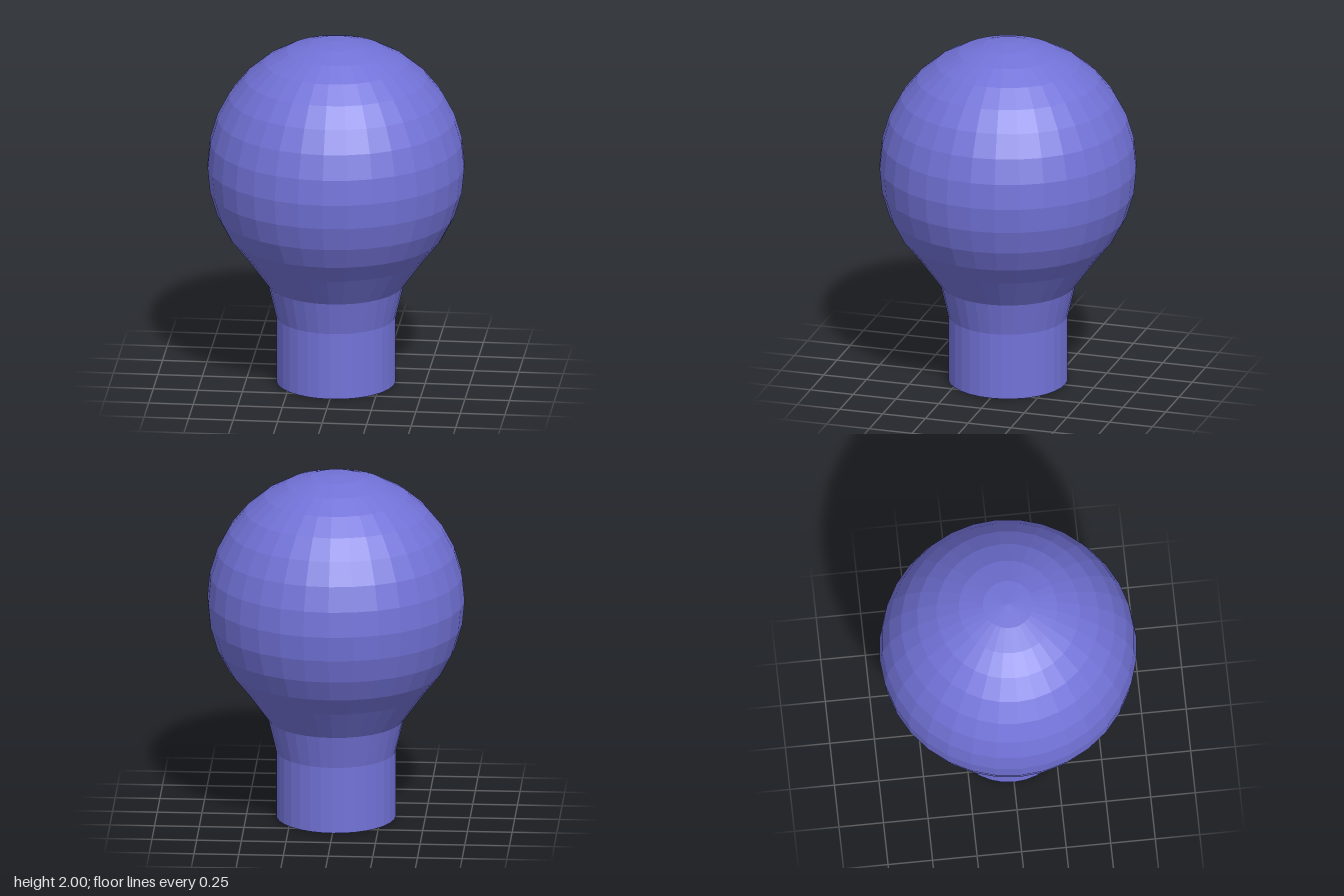
import * as THREE from 'three';

const SIDES = 32;

export function createModel() {
  const model = new THREE.Group();
  const violet = new THREE.MeshStandardMaterial({ color: 0x7272d8, flatShading: true });
  violet.name = 'violet';
  const teal = new THREE.MeshStandardMaterial({ color: 0x60bedc, flatShading: true });
  teal.name = 'teal';

  // Round globe flowing down into a straight neck
  const profile = [[0.335, 0.002], [0.335, 0.385], [0.38, 0.575]].map(([r, y]) => new THREE.Vector2(r, y));
  for (let k = 12; k >= 0; k--) {
    const a = (k * Math.PI) / 16;
    profile.push(new THREE.Vector2(0.72 * Math.sin(a), 1.27 + 0.73 * Math.cos(a)));
  }
  const bulb = new THREE.Mesh(new THREE.LatheGeometry(profile, SIDES), violet);
  bulb.name = 'bulb';
  model.add(bulb);

  // Flat underside of the neck
  const cap = new THREE.Mesh(new THREE.CircleGeometry(0.335, SIDES).rotateX(Math.PI / 2), violet);
  cap.position.y = 0.002;
  cap.name = 'neckBase';
  model.add(cap);

  // Thin crescent mark on the underside, turned 45 degrees
  const place = ([u, v]) => new THREE.Vector2((v - u) * Math.SQRT1_2, -(u + v) * Math.SQRT1_2);
  const arc = (points) => new THREE.SplineCurve(points.map(place)).getPoints(16);
  const outer = arc([[0.01, 0.15], [0.094, 0.19], [0.18, 0.165], [0.24, 0.034], [0.207, -0.08], [0.14, -0.125], [0.094, -0.11]]);
  const inner = arc([[0.094, -0.11], [0.114, -0.02], [0.077, 0.08], [0.01, 0.125]]);
  const crescent = new THREE.Mesh(
    new THREE.ShapeGeometry(new THREE.Shape([...outer, ...inner.slice(1)])).rotateX(Math.PI / 2),
    teal
  );
  crescent.name = 'crescentMark';
  model.add(crescent);

  return model;
}
